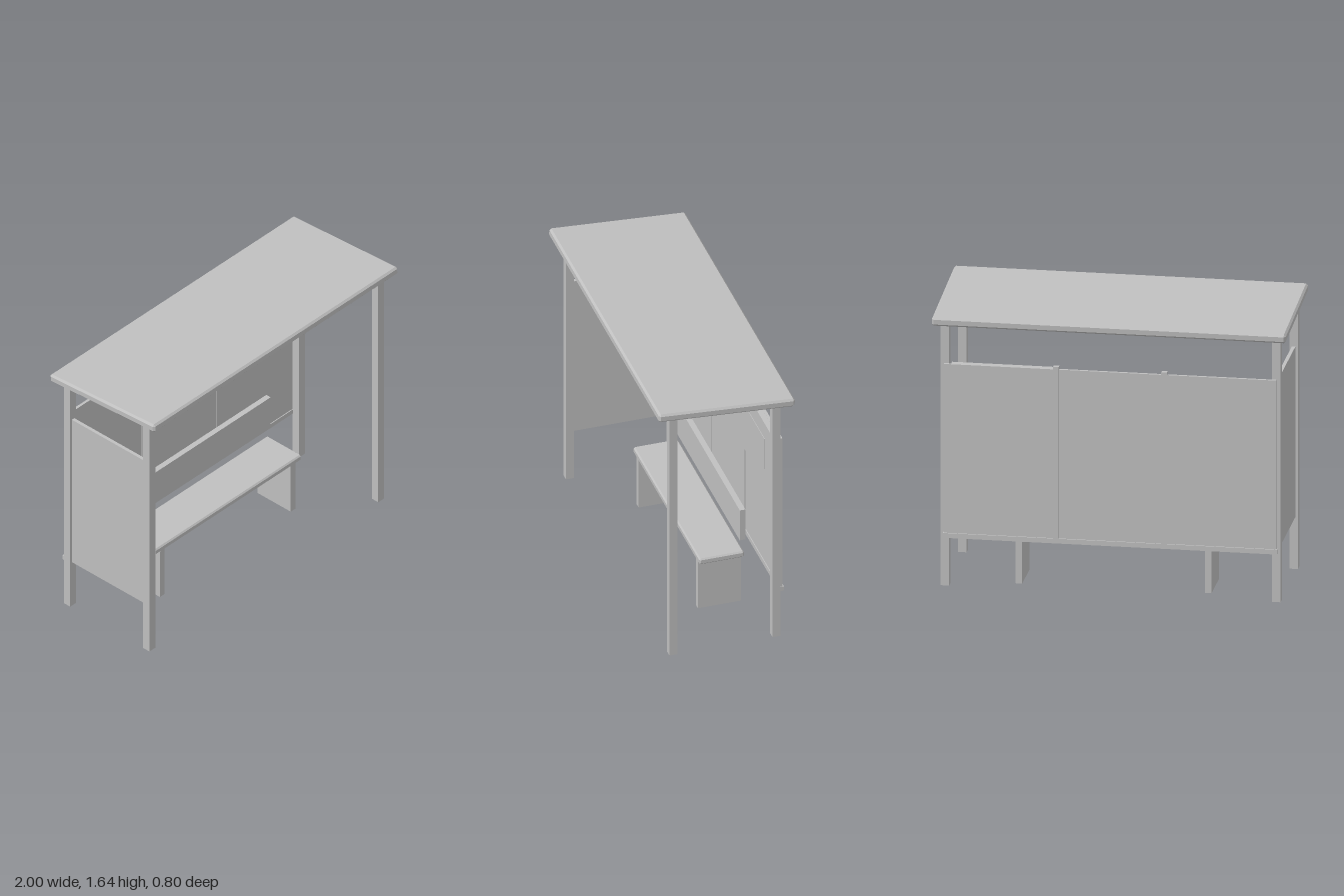
import * as THREE from 'three';
import { ConvexGeometry } from 'three/addons/geometries/ConvexGeometry.js';

export function createModel() {
  const model = new THREE.Group();
  model.name = 'busShelter';
  const grey = new THREE.MeshStandardMaterial({ color: 0xbfbfbf });
  grey.name = 'plain grey';

  function add(name, geometry, x, y, z) {
    const mesh = new THREE.Mesh(geometry, grey);
    mesh.name = name;
    mesh.position.set(x, y, z);
    model.add(mesh);
    return mesh;
  }

  // Box given by its lower and upper limits on each axis
  function block(name, [x0, x1], [y0, y1], [z0, z1]) {
    return add(name, new THREE.BoxGeometry(x1 - x0, y1 - y0, z1 - z0),
      (x0 + x1) / 2, (y0 + y1) / 2, (z0 + z1) / 2);
  }

  // Box with every edge cut at 45 degrees
  function chamferedBox(w, h, d, c) {
    const points = [];
    for (const sx of [-1, 1]) for (const sy of [-1, 1]) for (const sz of [-1, 1]) {
      const x = w / 2, y = h / 2, z = d / 2;
      points.push(
        new THREE.Vector3(sx * x, sy * (y - c), sz * (z - c)),
        new THREE.Vector3(sx * (x - c), sy * y, sz * (z - c)),
        new THREE.Vector3(sx * (x - c), sy * (y - c), sz * z));
    }
    return new ConvexGeometry(points);
  }

  // Roof slab, sloping down to the back
  const roof = add('roof', chamferedBox(2, 0.05, 0.8, 0.011), 0, 1.592, 0);
  roof.rotation.x = -0.067;

  // Corner posts
  for (const side of [-1, 1]) {
    for (const end of [-1, 1]) {
      const name = end > 0 ? 'frontPost' : 'backPost';
      add(name, new THREE.BoxGeometry(0.048, 1.57, 0.048), side * 0.936, 0.785, end * 0.302);
    }
  }

  // Back wall with its bottom rail and upright bars
  block('backPanel', [-0.94, 0.94], [0.305, 1.305], [-0.343, -0.327]);
  block('bottomRail', [-0.944, 0.944], [0.287, 0.315], [-0.351, -0.322]);
  for (const side of [-1, 1]) {
    block('mullion', [side * 0.306 - 0.016, side * 0.306 + 0.016], [0.287, 1.322], [-0.351, -0.322]);
  }

  // Single side wall, on the model's right
  block('sidePanel', [-0.946, -0.926], [0.305, 1.305], [-0.28, 0.28]);

  // Notice board and its sheet
  block('noticeBoard', [0.3, 0.9], [0.905, 1.304], [-0.33, -0.294]);
  block('noticeSheet', [0.427, 0.773], [1.005, 1.205], [-0.294, -0.291]);

  // Bench
  add('benchSeat', chamferedBox(1.2, 0.038, 0.262, 0.008), 0, 0.337, -0.098);
  block('benchBackrest', [-0.6, 0.6], [0.436, 0.636], [-0.236, -0.203]);
  for (const side of [-1, 1]) {
    block('benchLeg', [side * 0.535 - 0.019, side * 0.535 + 0.019], [0, 0.32], [-0.225, 0.028]);
  }

  return model;
}
